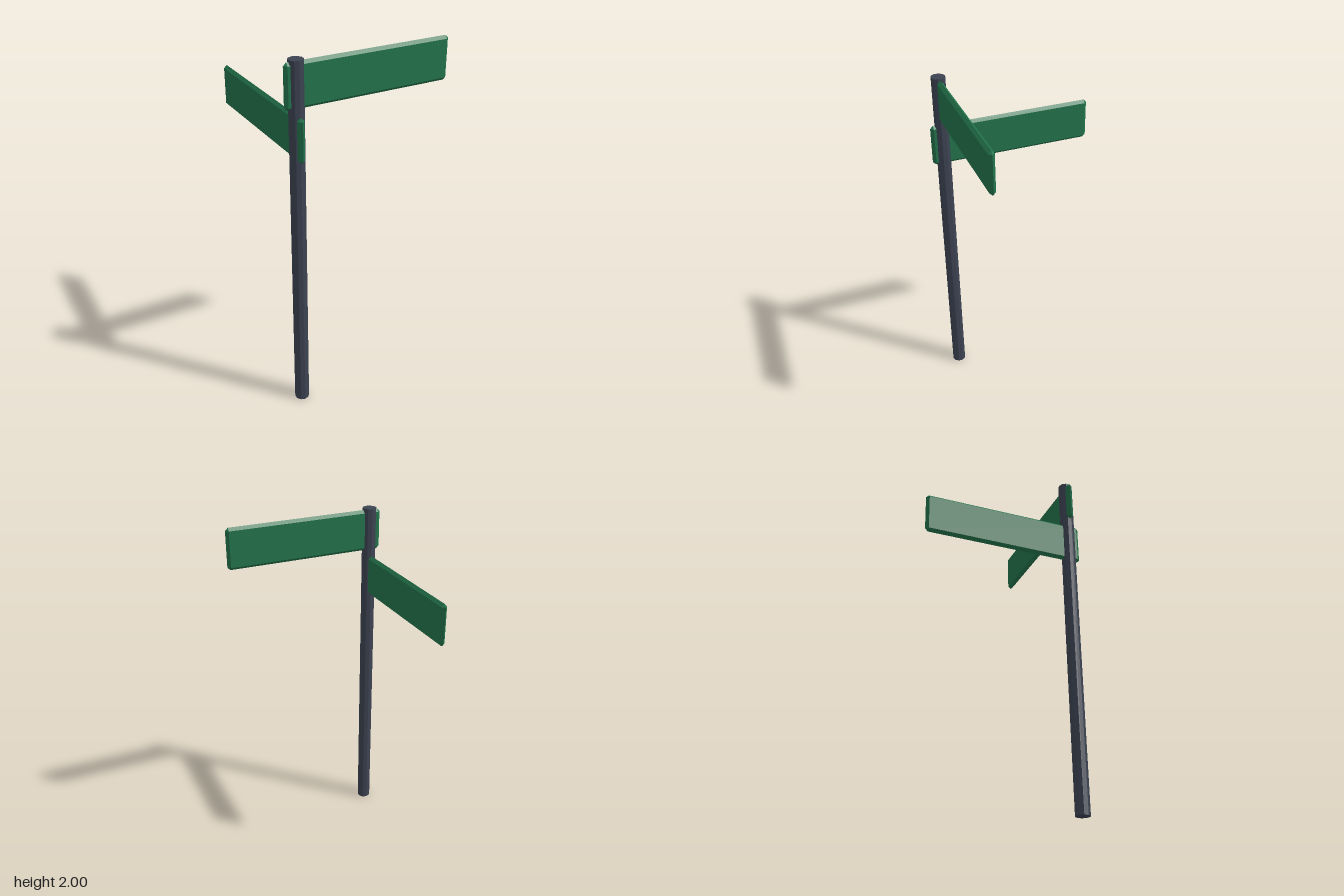
import * as THREE from 'three';
import { ConvexGeometry } from 'three/addons/geometries/ConvexGeometry.js';

// Thin board whose edges are fully chamfered to a central ridge, corners clipped
function signGeometry(hx, hy, b) {
  const points = [];
  for (const sx of [-1, 1]) for (const sy of [-1, 1]) {
    const x = sx * (hx - b), y = sy * (hy - b);
    points.push(
      new THREE.Vector3(x, y, b),
      new THREE.Vector3(x, y, -b),
      new THREE.Vector3(x, sy * hy, 0),
      new THREE.Vector3(sx * hx, y, 0)
    );
  }
  return new ConvexGeometry(points);
}

export function createModel() {
  const group = new THREE.Group();
  group.name = 'streetSign';

  const poleGrey = new THREE.MeshStandardMaterial({ color: 0x3d4352, flatShading: true });
  poleGrey.name = 'poleGrey';
  const signGreen = new THREE.MeshStandardMaterial({ color: 0x23744c, flatShading: true });
  signGreen.name = 'signGreen';

  // Ten-sided post at the corner
  const pole = new THREE.Mesh(new THREE.CylinderGeometry(0.04, 0.04, 2, 10), poleGrey);
  pole.name = 'pole';
  pole.position.set(-0.401, 1, 0.401);
  group.add(pole);

  // Two crossed boards, one above the other
  const board = signGeometry(0.467, 0.119, 0.0165);
  const upper = new THREE.Mesh(board, signGreen);
  upper.name = 'upperSign';
  upper.position.set(0, 1.871, 0.401);

  const lower = new THREE.Mesh(board, signGreen);
  lower.name = 'lowerSign';
  lower.position.set(-0.401, 1.603, 0);
  lower.rotation.y = Math.PI / 2;

  group.add(upper, lower);
  return group;
}
